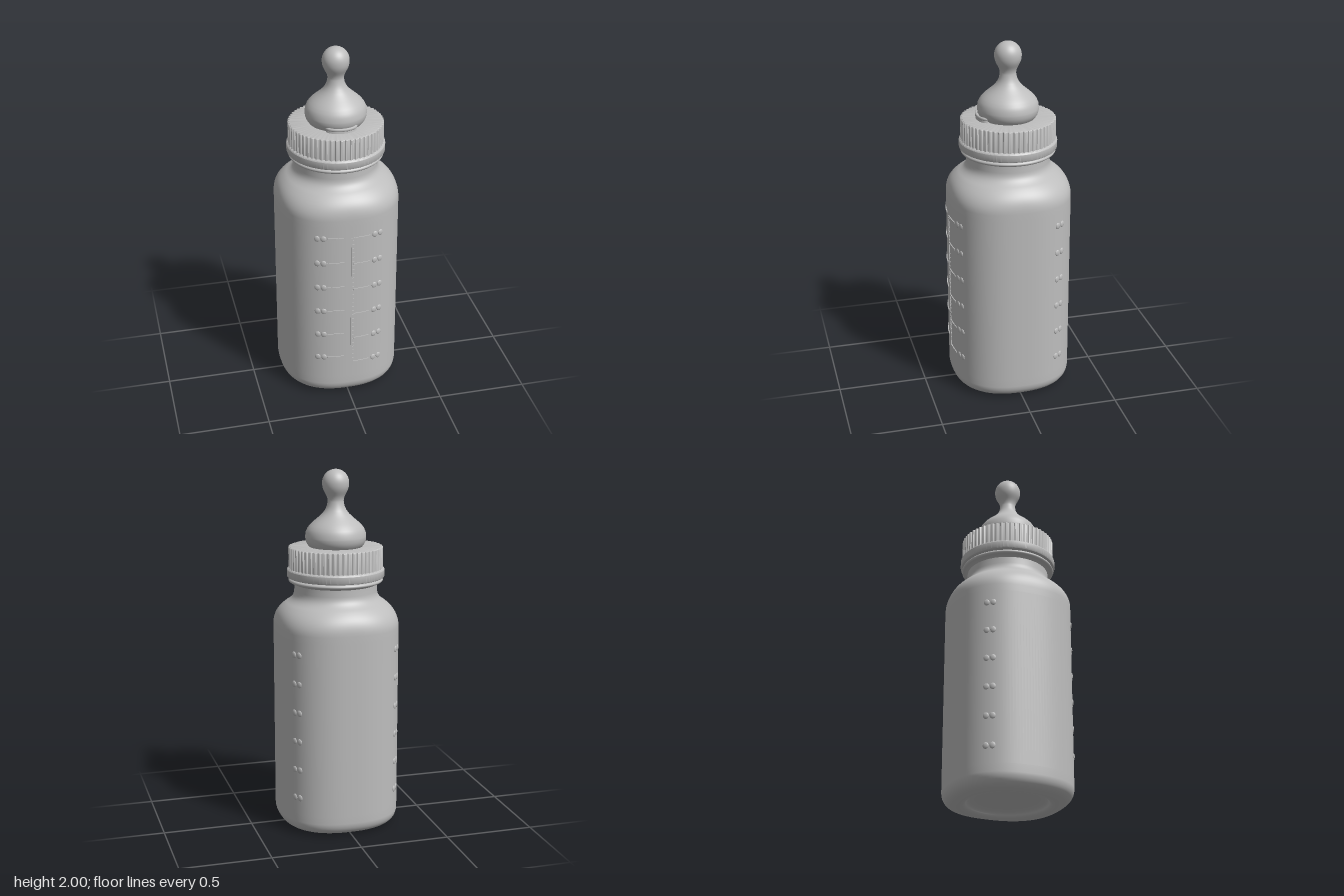
import * as THREE from 'three';
import { mergeVertices, toCreasedNormals } from 'three/addons/utils/BufferGeometryUtils.js';

const HALF = 0.34;    // half width of the body
const POWER = 2.42;   // squareness of the body's rounded cross-section
const RIBS = 60;

// How far the rounded-square outline reaches compared with a circle
const squareness = (a) =>
  Math.pow(Math.pow(Math.abs(Math.sin(a)), POWER) + Math.pow(Math.abs(Math.cos(a)), POWER), -1 / POWER);

// Lathe a path, then scale each vertex's radius by rule(angle, y, radius)
function shapedLathe(path, segments, rule) {
  const g = new THREE.LatheGeometry(path.getPoints(10), segments);
  const p = g.attributes.position;
  for (let i = 0; i < p.count; i++) {
    const x = p.getX(i), y = p.getY(i), z = p.getZ(i);
    const k = rule(Math.atan2(x, z), y, Math.hypot(x, z));
    p.setXYZ(i, x * k, y, z * k);
  }
  g.deleteAttribute('uv');
  g.deleteAttribute('normal');
  const merged = mergeVertices(g, 1e-5);
  merged.computeVertexNormals();
  return merged;
}

export function createModel() {
  const model = new THREE.Group();
  model.name = 'babyBottle';
  const grey = new THREE.MeshStandardMaterial({ color: 0xbdbdbd });
  grey.name = 'light grey';

  const add = (name, geometry, parent = model) => {
    const mesh = new THREE.Mesh(geometry, grey);
    mesh.name = name;
    parent.add(mesh);
    return mesh;
  };

  // Body: recessed base, straight rounded-square sides, shoulder and round neck
  const body = new THREE.Path();
  body.moveTo(0, 0.04);
  body.lineTo(0.17, 0.035);
  body.quadraticCurveTo(0.21, 0.033, 0.22, 0.016);
  body.quadraticCurveTo(0.23, 0, 0.255, 0);
  body.quadraticCurveTo(HALF - 0.005, 0.002, HALF, 0.075);
  body.lineTo(HALF, 0.12);
  body.lineTo(HALF, 1.1);
  body.lineTo(HALF, 1.14);
  body.bezierCurveTo(HALF, 1.21, 0.31, 1.24, 0.28, 1.265);
  body.bezierCurveTo(0.25, 1.285, 0.232, 1.3, 0.23, 1.335);
  body.lineTo(0.229, 1.37);
  body.lineTo(0.229, 1.42);
  add('bottleBody', shapedLathe(body, 128, (a, y, r) => {
    const high = 1 - THREE.MathUtils.smoothstep(y, 1.14, 1.32);
    const rim = y < 0.05 ? THREE.MathUtils.smoothstep(r, 0.2, 0.3) : 1;
    return 1 + (squareness(a) - 1) * high * rim;
  }));

  // Neck collar just under the cap
  const collar = new THREE.Path();
  collar.moveTo(0.22, 1.365);
  collar.quadraticCurveTo(0.24, 1.382, 0.255, 1.383);
  collar.quadraticCurveTo(0.268, 1.393, 0.255, 1.403);
  collar.lineTo(0.22, 1.41);
  add('neckCollar', shapedLathe(collar, 96, () => 1));

  // Screw cap with a plain lower band and a ribbed grip
  const cap = new THREE.Path();
  cap.moveTo(0.2, 1.408);
  cap.lineTo(0.262, 1.408);
  cap.quadraticCurveTo(0.27, 1.41, 0.27, 1.418);
  cap.lineTo(0.27, 1.448);
  cap.quadraticCurveTo(0.27, 1.455, 0.264, 1.457);
  cap.lineTo(0.257, 1.46);
  cap.lineTo(0.257, 1.572);
  cap.quadraticCurveTo(0.257, 1.578, 0.25, 1.578);
  cap.lineTo(0.13, 1.578);
  const capGeometry = shapedLathe(cap, RIBS * 6, (a, y, r) => {
    const ribbed = y > 1.459 && r > 0.249;
    return ribbed ? 1 + 0.018 * Math.tanh(2 * Math.cos(a * RIBS)) : 1;
  });
  add('screwCap', toCreasedNormals(capGeometry, 0.7));

  // Teat: wide bulb, slim waist and round tip
  const teat = new THREE.Path();
  teat.moveTo(0.14, 1.57);
  teat.bezierCurveTo(0.158, 1.59, 0.168, 1.605, 0.168, 1.635);
  teat.bezierCurveTo(0.168, 1.72, 0.05, 1.73, 0.044, 1.825);
  teat.bezierCurveTo(0.044, 1.865, 0.074, 1.875, 0.074, 1.925);
  teat.bezierCurveTo(0.074, 1.967, 0.042, 2, 0, 2);
  add('teat', shapedLathe(teat, 72, () => 1));

  // Oval vent pad beside the teat with a raised rim
  const vent = new THREE.Group();
  vent.name = 'teatVent';
  vent.position.set(0, 1.578, 0.13);
  model.add(vent);
  add('ventPad', new THREE.CylinderGeometry(0.08, 0.085, 0.024, 40), vent).scale.z = 0.58;
  const ventRim = add('ventRim', new THREE.TorusGeometry(0.079, 0.009, 10, 48), vent);
  ventRim.rotation.x = Math.PI / 2;
  ventRim.position.y = 0.02;
  ventRim.scale.y = 0.58;

  // Put a mesh on the body wall at an angle around it, facing outward
  const onWall = (mesh, angle, y) => {
    const r = HALF * squareness(angle);
    const x = Math.sin(angle) * r, z = Math.cos(angle) * r;
    mesh.position.set(x, y, z);
    const n = (v) => Math.sign(v) * Math.pow(Math.abs(v), POWER - 1);
    mesh.rotation.y = Math.atan2(n(x), n(z));
    return mesh;
  };
  const frontAngle = (x) => {
    const z = Math.pow(Math.pow(HALF, POWER) - Math.pow(Math.abs(x), POWER), 1 / POWER);
    return Math.atan2(x, z);
  };

  // Raised measuring scale
  const scale = new THREE.Group();
  scale.name = 'measuringScale';
  model.add(scale);
  const bar = (name, x, y, w, h) =>
    onWall(add(name, new THREE.BoxGeometry(w, h, 0.009), scale), frontAngle(x), y);
  const bead = new THREE.SphereGeometry(1, 14, 10);
  const beadPair = (angle, y) => {
    for (const s of [-1, 1])
      onWall(add('scaleBead', bead, scale), angle + s * 0.05, y).scale.set(0.016, 0.018, 0.006);
  };

  bar('scaleLine', 0.01, 0.62, 0.007, 0.82);
  for (let i = 0; i < 30; i++) bar('smallTick', 0.017, 0.24 + i * 0.0268, 0.014, 0.005);
  for (let i = 0; i < 6; i++) {
    const yLeft = 0.215 + i * 0.163, yRight = 0.26 + i * 0.155;
    for (const [x, y] of [[0.045, yLeft], [0.09, yLeft], [-0.055, yRight], [-0.1, yRight]])
      bar('longTick', x, y, 0.048, 0.009);
    beadPair(frontAngle(0.16), yLeft);
    beadPair(frontAngle(-0.16), yRight);
    // Matching faint beads on both rear corners
    for (const s of [-1, 1]) beadPair(s * 2.23, yLeft);
  }
  return model;
}
